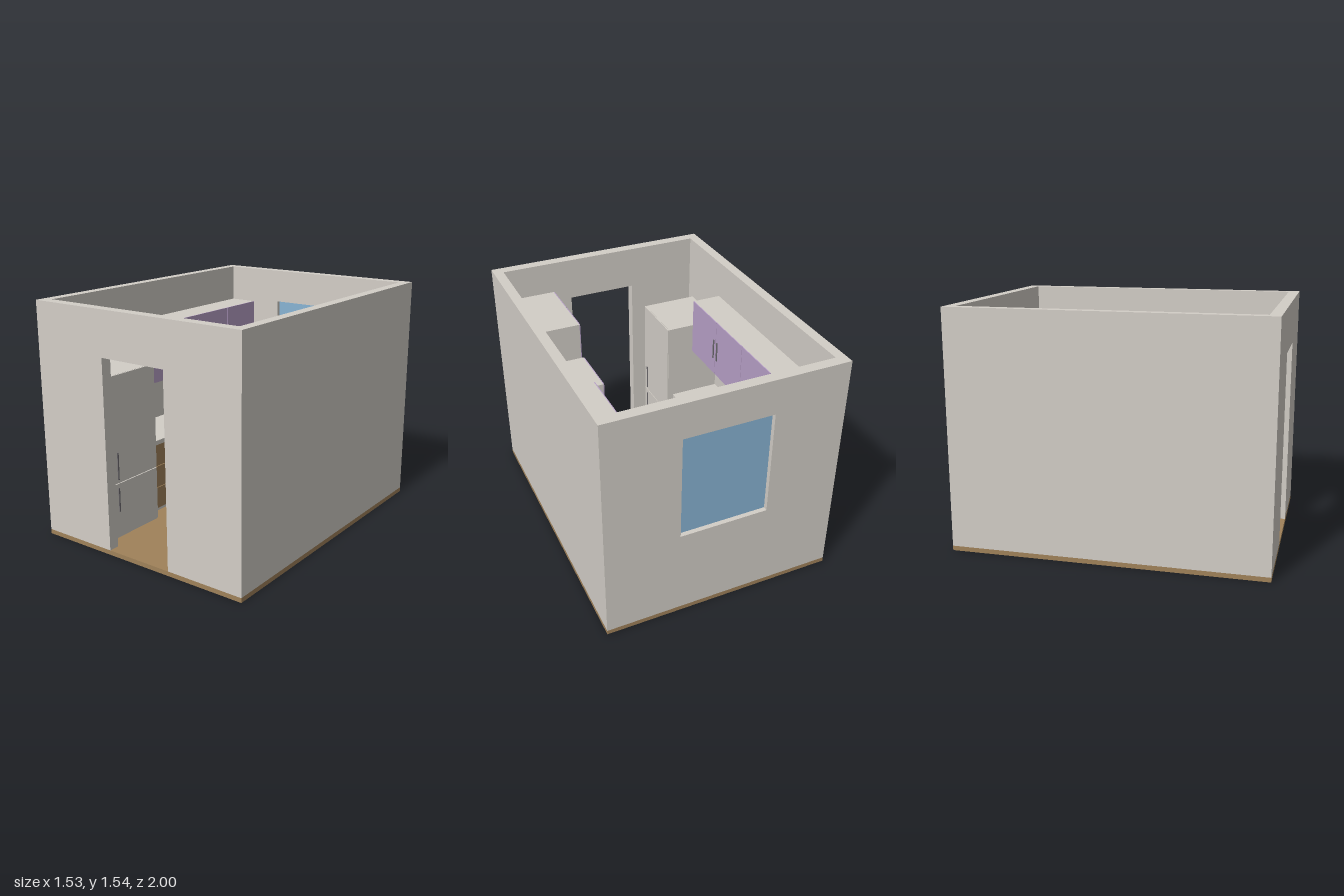
import * as THREE from 'three';

const mat = (name, color) => {
  const m = new THREE.MeshStandardMaterial({ color });
  m.name = name;
  return m;
};

export function createModel() {
  const room = new THREE.Group();
  room.name = 'kitchenRoom';
  const plaster = mat('warmWhite', 0xd3cec7);
  const wood = mat('wood', 0xa0825a);
  const glass = mat('windowBlue', 0x88b4d4);
  const purple = mat('mutedPurple', 0xb8a0c8);
  const black = mat('black', 0x222224);
  const metal = mat('handleGrey', 0x706e72);

  // Box given by its two opposite corners
  const box = (name, m, x0, x1, y0, y1, z0, z1, parent = room) => {
    const mesh = new THREE.Mesh(new THREE.BoxGeometry(x1 - x0, y1 - y0, z1 - z0), m);
    mesh.position.set((x0 + x1) / 2, (y0 + y1) / 2, (z0 + z1) / 2);
    mesh.name = name;
    parent.add(mesh);
    return mesh;
  };
  const group = (name) => {
    const g = new THREE.Group();
    g.name = name;
    room.add(g);
    return g;
  };
  const rect = (T, x0, x1, y0, y1) => new T([
    new THREE.Vector2(x0, y0), new THREE.Vector2(x1, y0),
    new THREE.Vector2(x1, y1), new THREE.Vector2(x0, y1)]);
  const extrude = (name, shape, depth, m, parent = room) => {
    const mesh = new THREE.Mesh(new THREE.ExtrudeGeometry(shape, { depth, bevelEnabled: false }), m);
    mesh.name = name;
    parent.add(mesh);
    return mesh;
  };

  // Floor and walls
  const W = 0.765, H = 1.54, F = 0.03, T = 0.07, X = 0.7, Z = 0.93;
  box('floor', wood, -W, W, 0, F, -1, 1);
  for (const s of [-1, 1]) {
    const a = s * W, b = s * X;
    box('sideWall', plaster, Math.min(a, b), Math.max(a, b), F, H, -Z, Z);
  }
  const front = new THREE.Shape([
    [-W, F], [-0.233, F], [-0.233, 1.255], [0.233, 1.255], [0.233, F], [W, F], [W, H], [-W, H],
  ].map(p => new THREE.Vector2(...p)));
  extrude('doorWall', front, T, plaster).position.z = Z;
  const back = rect(THREE.Shape, -W, W, F, H);
  back.holes.push(rect(THREE.Path, -0.287, 0.287, 0.61, 1.31));
  extrude('windowWall', back, T, plaster).position.z = -1;
  box('windowPane', glass, -0.287, 0.287, 0.61, 1.31, -0.97, -0.96);

  // Run of cabinet doors on a face at |x| = face, side s (-1 left, 1 right)
  const xs = (s, a, b) => (s < 0 ? [-Math.max(a, b), -Math.min(a, b)] : [Math.min(a, b), Math.max(a, b)]);
  const doors = (g, s, face, y0, y1, z0, z1, n, handleY) => {
    const w = (z1 - z0) / n;
    for (let i = 0; i < n; i++) {
      const a = z0 + i * w, b = a + w;
      box('cabinetDoor', purple, ...xs(s, face, face - 0.006), y0, y1, a + 0.002, b - 0.002, g);
      if (!handleY) continue;
      const hz = i % 2 === 0 ? b - 0.024 : a + 0.024;
      box('doorHandle', metal, ...xs(s, face - 0.006, face - 0.013),
        handleY - 0.07, handleY + 0.07, hz - 0.004, hz + 0.004, g);
    }
  };

  // Wall cabinets
  const upper = (s, z1, n) => {
    const g = group(s < 0 ? 'rightWallCabinets' : 'leftWallCabinets');
    box('cabinetBody', plaster, ...xs(s, 0.506, X), 0.895, 1.29, -Z, z1, g);
    doors(g, s, 0.506, 0.895, 1.29, -Z, z1, n, 1.08);
  };
  upper(-1, 0.462, 4);
  upper(1, -0.236, 2);

  // Base cabinets: plinth, body, three rows of drawers, worktop
  const base = (s, z1, columns, sink) => {
    const g = group(s < 0 ? 'rightBaseCabinets' : 'leftBaseCabinets');
    box('plinth', plaster, ...xs(s, 0.4, X), F, 0.07, -Z, z1, g);
    box('baseBody', plaster, ...xs(s, 0.37, X), 0.07, 0.527, -Z, z1, g);
    const w = (z1 + Z) / columns, h = 0.455 / 3;
    for (let c = 0; c < columns; c++) {
      for (let r = 0; r < 3; r++) {
        const a = -Z + c * w, y = 0.07 + r * h;
        box('drawerFront', wood, ...xs(s, 0.36, 0.37), y + 0.002, y + h - 0.002, a + 0.002, a + w - 0.002, g);
      }
    }
    const [xa, xb] = xs(s, 0.352, X);
    const top = rect(THREE.Shape, xa, xb, -z1, Z);
    if (sink) top.holes.push(rect(THREE.Path, -0.63, -0.43, 0.44, 0.73));
    const worktop = extrude('worktop', top, 0.03, plaster, g);
    worktop.rotation.x = -Math.PI / 2;
    worktop.position.y = 0.527;
  };
  base(-1, 0.462, 4, true);
  base(1, 0.405, 4, false);

  // Cooktop and the hood cabinet above it
  box('cooktop', black, 0.375, 0.66, 0.557, 0.565, -0.207, 0.085);
  const hood = group('hoodCabinet');
  box('hoodBody', plaster, 0.446, X, 0.895, 1.258, -0.236, 0.11, hood);
  doors(hood, 1, 0.446, 0.895, 1.258, -0.236, 0.11, 1, 0);

  // Tall cupboard
  const tall = group('tallCupboard');
  box('cupboardBody', plaster, 0.361, X, F, 1.325, 0.405, Z, tall);
  doors(tall, 1, 0.361, 0.07, 1.325, 0.405, Z, 2, 0.7);

  // Fridge with two doors
  const fridge = group('fridge');
  box('fridgeBody', plaster, -X, -0.318, F, 1.1, 0.465, 0.87, fridge);
  for (const [y0, y1, h0, h1] of [[0.04, 0.398, 0.21, 0.37], [0.404, 1.1, 0.425, 0.605]]) {
    box('fridgeDoor', plaster, -0.316, -0.308, y0, y1, 0.465, 0.87, fridge);
    box('fridgeHandle', metal, -0.308, -0.303, h0, h1, 0.82, 0.83, fridge);
  }
  return room;
}
